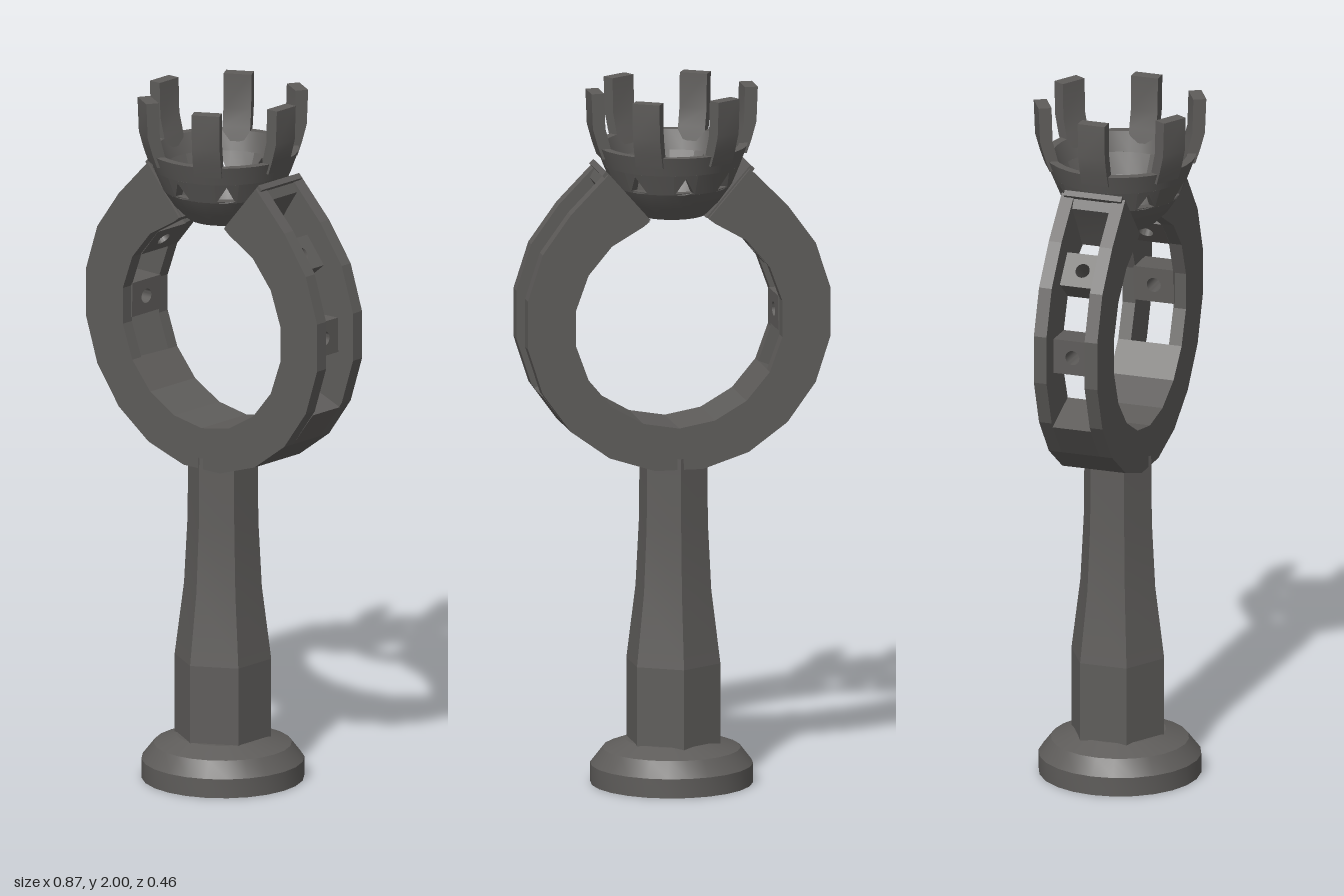
import * as THREE from 'three';
import { toCreasedNormals } from 'three/addons/utils/BufferGeometryUtils.js';

const RAD = Math.PI / 180;
const ZC = -0.005; // middle of the band in depth

export function createModel() {
  const model = new THREE.Group();
  const metal = new THREE.MeshStandardMaterial({ color: 0x5e5c5a });
  metal.name = 'dark metal';

  const add = (name, geometry, crease = 0.5) => {
    const mesh = new THREE.Mesh(toCreasedNormals(geometry, crease), metal);
    mesh.name = name;
    model.add(mesh);
    return mesh;
  };
  const vec = (pts) => pts.map(([x, y]) => new THREE.Vector2(x, y));
  // Prism from an outline in the xy plane, between two depths
  const prism = (pts, z0, z1) => new THREE.ExtrudeGeometry(new THREE.Shape(vec(pts)),
    { depth: z1 - z0, bevelEnabled: false }).translate(0, 0, z0);
  const mirror = (pts) => pts.map(([x, y]) => [-x, y]).reverse();

  // Foot
  add('foot', new THREE.LatheGeometry(vec([[0, 0], [0.23, 0], [0.23, 0.055], [0.195, 0.1], [0.13, 0.125], [0, 0.125]]), 24), 0.3);

  // Six-sided post, edges facing front and back
  add('post', new THREE.LatheGeometry(vec([[0.139, 0.1], [0.139, 0.35], [0.112, 0.56], [0.102, 0.75], [0.1, 0.95]]), 6), 0.1)
    .position.set(-0.004, 0, ZC);

  // Faceted band: points on its outer and inner outlines by angle
  const outer = (a) => [0.442 * Math.cos(a * RAD), 1.355 + 0.442 * Math.sin(a * RAD)];
  const inner = (a) => [0.302 * Math.cos(a * RAD), 1.34 + 0.302 * Math.sin(a * RAD)];
  const steps = (a, b, d) => Array.from({ length: Math.round(Math.abs(b - a) / d) + 1 },
    (_, i) => a + Math.sign(b - a) * d * i);

  // Side plates, cut open at the top for the cup
  const plate = [[-0.205, 1.777], ...steps(135, 405, 18).map(outer), [0.205, 1.777],
    [0.085, 1.638], ...steps(430, 110, 20).map(inner), [-0.085, 1.638]];
  add('frontBandPlate', prism(plate, 0.052, 0.09), 0.1);
  add('backBandPlate', prism(plate, -0.1, -0.062), 0.1);

  // Solid lower band between the plates
  const lower = [outer(209), ...steps(225, 315, 18).map(outer), outer(331),
    inner(330), ...steps(310, 230, 20).map(inner), inner(210)];
  add('lowerBand', prism(lower, -0.062, 0.052), 0.1);

  // Shoulders and slanted seats holding the cup
  const shoulder = [[0.085, 1.638], inner(62), [0.185, 1.68], [0.225, 1.74], [0.205, 1.777]];
  const seat = [[0.08, 1.64], [0.095, 1.635], [0.22, 1.775], [0.208, 1.787]];
  for (const [side, flip] of [['left', (p) => p], ['right', mirror]]) {
    add(side + 'Shoulder', prism(flip(shoulder), -0.062, 0.052), 0.1);
    add(side + 'Seat', prism(flip(seat), -0.09, 0.082), 0.1);
  }

  // Pierced bridges between the plates
  const bridge = new THREE.Shape(vec([[-0.05, -0.06], [0.05, -0.06], [0.05, 0.06], [-0.05, 0.06]]));
  bridge.holes.push(new THREE.Path().absarc(0, 0, 0.021, 0, Math.PI * 2, true));
  for (const a of [1, 39, 141, 179]) {
    const c = Math.cos(a * RAD), s = Math.sin(a * RAD);
    const geo = new THREE.ExtrudeGeometry(bridge, { depth: 0.087, bevelEnabled: false, curveSegments: 8 });
    geo.translate(0, 0, 0.293).applyMatrix4(new THREE.Matrix4().makeBasis(
      new THREE.Vector3(-s, c, 0), new THREE.Vector3(0, 0, 1), new THREE.Vector3(c, s, 0)));
    add('bridge', geo.translate(0, 1.345, ZC));
  }

  // Cup: an open-bottomed bowl in three rows, the middle one pierced
  const WALL = 0.025;
  const bowl = (pts, seg, start, length) => new THREE.LatheGeometry(vec([...pts,
    ...pts.map(([r, y]) => [r - WALL, y]).reverse(), pts[0]]), seg, start, length);
  add('cupBottom', bowl([[0.1, 1.64], [0.14, 1.68], [0.17, 1.725]], 32));
  add('cupRim', bowl([[0.195, 1.785], [0.215, 1.84]], 32));

  const HALF = 0.18;
  for (let i = 0; i < 8; i++) {
    const a = i * Math.PI / 4;
    const row = [[0.17, 1.725], [0.195, 1.785]];
    add('cupWall', bowl(row, 2, a + HALF, Math.PI / 4 - 2 * HALF));
    if (i % 4 === 2) {
      add('cupWall', bowl(row, 2, a - HALF, 2 * HALF));
      continue;
    }
    // Panel with a triangular window, bent around the bowl
    const panel = new THREE.Shape(vec([[-HALF, 1.725], [0, 1.725], [HALF, 1.725], [HALF, 1.785], [0, 1.785], [-HALF, 1.785]]));
    panel.holes.push(new THREE.Path(vec([[-0.15, 1.73], [0, 1.777], [0.15, 1.73]])));
    const geo = new THREE.ExtrudeGeometry(panel, { depth: 1, bevelEnabled: false });
    const p = geo.attributes.position;
    for (let k = 0; k < p.count; k++) {
      const phi = a + p.getX(k), y = p.getY(k);
      const r = 0.17 + 0.025 * (y - 1.725) / 0.06 - WALL * (1 - p.getZ(k));
      p.setXYZ(k, r * Math.sin(phi), y, r * Math.cos(phi));
    }
    add('cupWindow', geo);
  }

  // Six upright prongs on the rim
  const prong = [[0.178, 1.81], [0.208, 1.81], [0.222, 1.85], [0.236, 1.9], [0.24, 2], [0.203, 2], [0.2, 1.9], [0.187, 1.85]];
  for (let i = 0; i < 6; i++) {
    add('prong', prism(prong, -0.04, 0.04)).rotation.y = i * Math.PI / 3;
  }
  return model;
}
